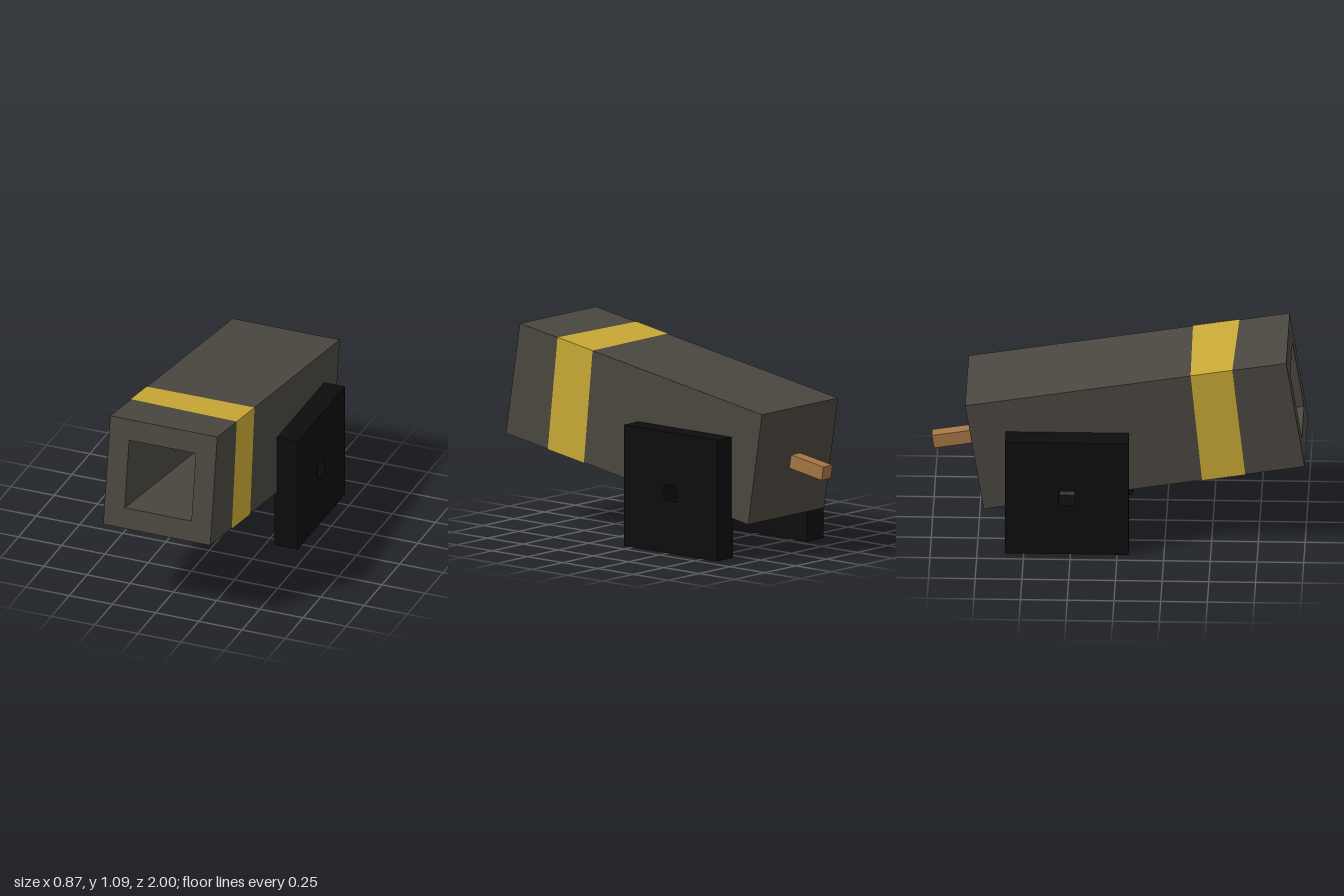
import * as THREE from 'three';

const iron = new THREE.MeshStandardMaterial({ name: 'dark iron', color: 0x4b4740 });
const gold = new THREE.MeshStandardMaterial({ name: 'gold band', color: 0xc9a936 });
const black = new THREE.MeshStandardMaterial({ name: 'black wheel', color: 0x0d0d0d });
const wood = new THREE.MeshStandardMaterial({ name: 'fuse brown', color: 0xa67646 });

function part(name, geometry, material, parent) {
  const mesh = new THREE.Mesh(geometry, material);
  mesh.name = name;
  parent.add(mesh);
  return mesh;
}

function square(target, half) {
  target.moveTo(-half, -half);
  target.lineTo(half, -half);
  target.lineTo(half, half);
  target.lineTo(-half, half);
  target.closePath();
  return target;
}

// Square slab with a centred square hole, extruded from z = 0
function holedSlab(size, hole, depth) {
  const shape = square(new THREE.Shape(), size / 2);
  shape.holes.push(square(new THREE.Path(), hole / 2));
  return new THREE.ExtrudeGeometry(shape, { depth, bevelEnabled: false });
}

// Open four-sided sleeve whose ends lean slightly, as if painted by hand
function bandGeometry(size) {
  const g = new THREE.CylinderGeometry(size / Math.SQRT2, size / Math.SQRT2, 1, 4, 1, true)
    .rotateY(Math.PI / 4).rotateX(Math.PI / 2).toNonIndexed();
  const p = g.attributes.position;
  for (let i = 0; i < p.count; i++) {
    const sx = Math.sign(p.getX(i)), sy = Math.sign(p.getY(i));
    p.setZ(i, p.getZ(i) > 0 ? 0.573 + 0.01 * sx + 0.015 * sy : 0.33 - 0.003 * sx + 0.019 * sy);
  }
  g.computeVertexNormals();
  return g;
}

export function createModel() {
  const model = new THREE.Group();
  model.name = 'cannon';

  // Tilted barrel assembly, muzzle towards +z
  const barrel = new THREE.Group();
  barrel.name = 'barrelAssembly';
  barrel.position.set(0.006, 0.643, 0.091);
  barrel.rotation.x = -0.16;
  model.add(barrel);

  const size = 0.619, half = 0.87, bore = 1.07;
  part('hollowBarrel', holedSlab(size, 0.386, bore), iron, barrel).position.z = half - bore;
  const breechLength = 2 * half - bore;
  part('breech', new THREE.BoxGeometry(size, size, breechLength), iron, barrel)
    .position.z = -half + breechLength / 2;
  part('goldBand', bandGeometry(size + 0.004), gold, barrel);
  part('fuse', new THREE.BoxGeometry(0.075, 0.075, 0.25), wood, barrel)
    .position.set(-0.014, 0.002, -0.977);

  // Square wheels with a square axle hole
  const wheel = holedSlab(0.66, 0.086, 0.133).translate(0, 0, -0.0665).rotateY(Math.PI / 2);
  for (const side of [-1, 1]) {
    part(side > 0 ? 'leftWheel' : 'rightWheel', wheel, black, model)
      .position.set(side * 0.3675, 0.33, -0.27);
  }
  return model;
}
